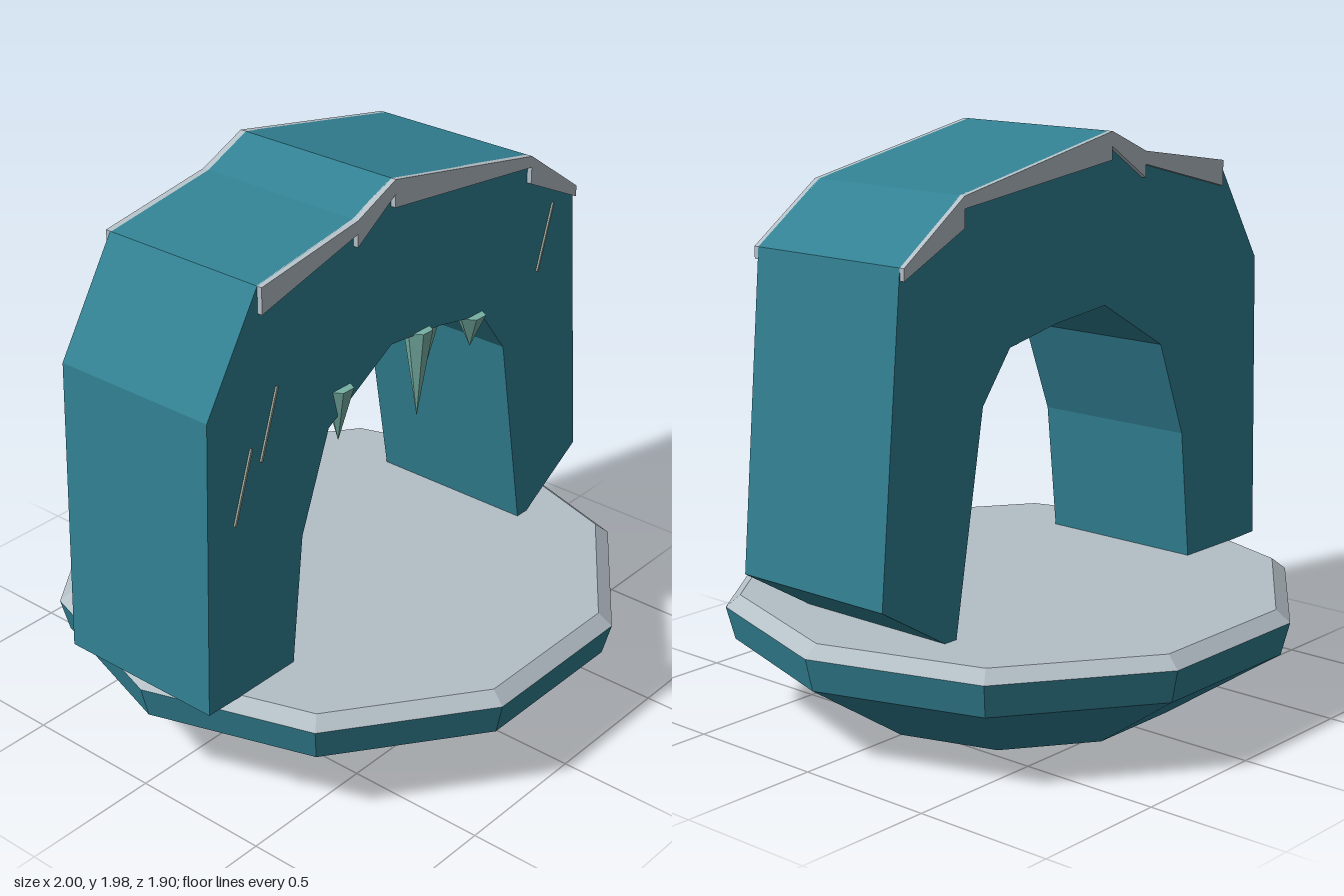
import * as THREE from 'three';

const mat = (name, color) => {
  const m = new THREE.MeshStandardMaterial({ color, flatShading: true });
  m.name = name;
  return m;
};

export function createModel() {
  const model = new THREE.Group();
  model.name = 'frozenArch';
  const ice = mat('teal ice', 0x328193);
  const snow = mat('grey snow', 0xb4bfc6);
  const icicleMat = mat('pale icicle', 0x76b0a4);
  const crackMat = mat('crack grey', 0x9fa99c);

  const add = (name, geometry, material, parent = model) => {
    const mesh = new THREE.Mesh(geometry, material);
    mesh.name = name;
    parent.add(mesh);
    return mesh;
  };

  // Ten-sided tapered ring with a corner on the x axis
  const ring = (name, rTop, rBottom, y0, y1, material) => {
    const g = new THREE.CylinderGeometry(rTop, rBottom, y1 - y0, 10, 1, false, Math.PI / 2);
    add(name, g.translate(0, (y0 + y1) / 2, 0), material);
  };
  ring('baseUnderside', 0.97, 0.57, 0, 0.265, ice);
  ring('baseRim', 1, 0.97, 0.265, 0.38, ice);
  ring('baseSnow', 0.95, 1, 0.38, 0.42, snow);

  // Outline in the xy plane, extruded from z0 to z1
  const slab = (points, z0, z1) => new THREE.ExtrudeGeometry(
    new THREE.Shape(points.map(([x, y]) => new THREE.Vector2(x, y))),
    { depth: z1 - z0, bevelEnabled: false }).translate(0, 0, z0);

  // Arch: ridge along the top, then down the right leg and around the opening
  const ridge = [[-0.74, 1.83], [-0.3, 1.9], [-0.12, 1.98], [0.6, 1.84], [0.87, 1.65]];
  add('arch', slab([
    [-1, 0.422], [-0.97, 1.46], ...ridge, [0.965, 0.59],
    [0.635, 0.39], [0.5, 1.16], [0.37, 1.33], [0.14, 1.375], [-0.11, 1.4],
    [-0.3, 1.29], [-0.42, 1.22], [-0.55, 0.88], [-0.6, 0.412],
  ], -0.31, 0.31), ice);

  // Stepped snow lips along both edges of the ridge
  const lips = new THREE.Group();
  lips.name = 'snowLips';
  model.add(lips);
  const lower = [[1.74, 1.855], [1.81, 1.93], [1.885, 1.8], [1.74, 1.61]];
  lower.forEach(([ya, yb], i) => {
    const [a, b] = [ridge[i], ridge[i + 1]];
    const outline = [a, b, [b[0], yb], [a[0], ya]];
    add('frontSnowLip', slab(outline, 0.305, 0.328), snow, lips);
    add('backSnowLip', slab(outline, -0.328, -0.305), snow, lips);
  });

  // Icicles: x, z, top, tip, radius
  const icicles = new THREE.Group();
  icicles.name = 'icicles';
  model.add(icicles);
  for (const [x, z, top, tip, r] of [
    [-0.357, 0.295, 1.34, 1.145, 0.052], [-0.223, 0.22, 1.34, 1.205, 0.047],
    [0.045, 0.295, 1.395, 1.07, 0.05], [0.167, 0.22, 1.37, 1.145, 0.056],
    [0.328, 0.295, 1.345, 1.225, 0.053],
  ]) {
    const g = new THREE.ConeGeometry(r, top - tip, 6, 1, false, Math.PI / 6);
    add('icicle', g.rotateX(Math.PI).translate(x, (top + tip) / 2, z), icicleMat, icicles);
  }

  // Thin slanted cracks on the front face
  for (const [x0, y0, x1, y1] of [
    [-0.863, 1.06, -0.783, 1.3], [-0.74, 1.235, -0.663, 1.467], [0.678, 1.387, 0.755, 1.62],
  ]) {
    const g = new THREE.BoxGeometry(0.008, Math.hypot(x1 - x0, y1 - y0), 0.008);
    const crack = add('crack', g, crackMat);
    crack.position.set((x0 + x1) / 2, (y0 + y1) / 2, 0.313);
    crack.rotation.z = -Math.atan2(x1 - x0, y1 - y0);
  }
  return model;
}
